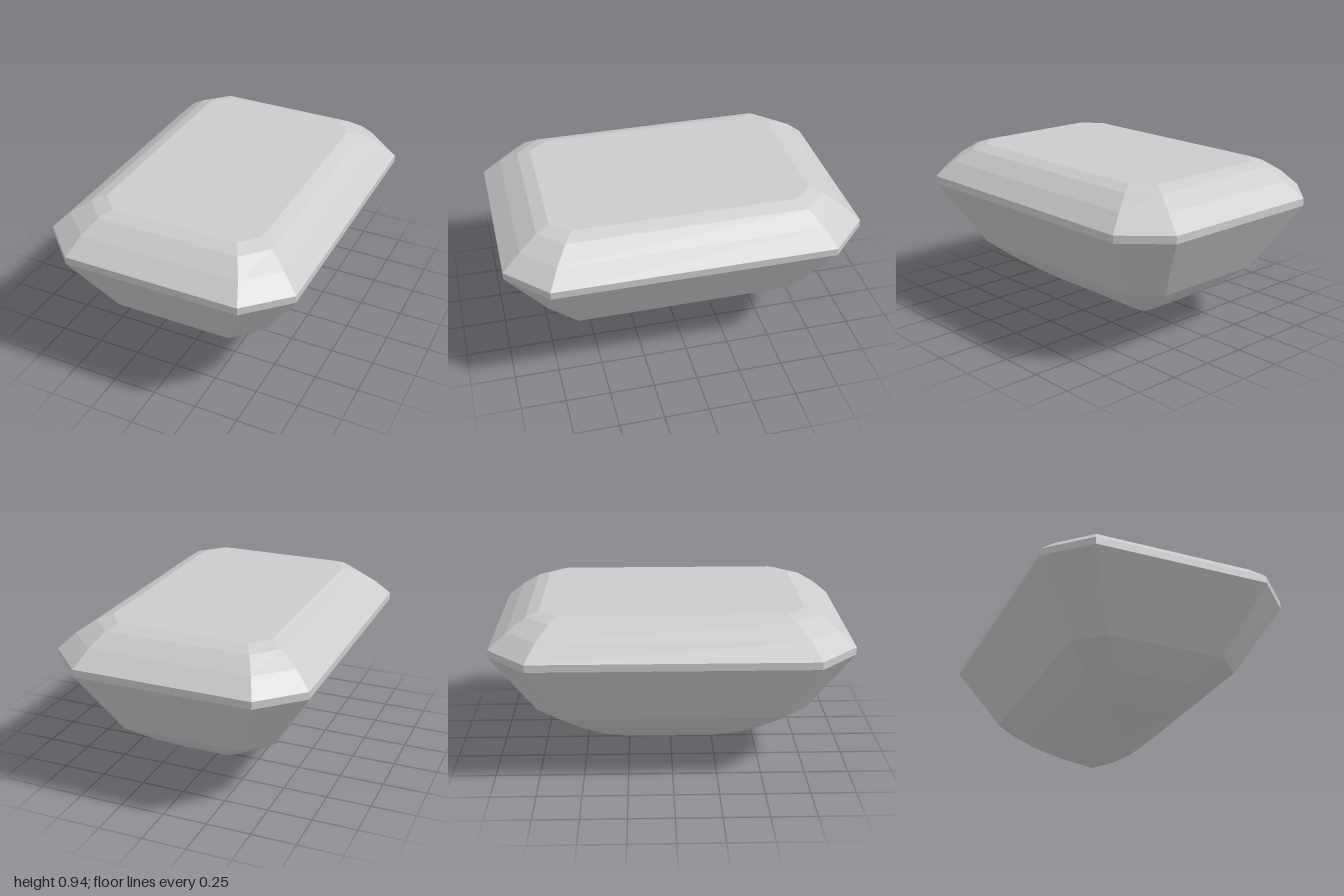
import * as THREE from 'three';

// Eight-sided section: full half-widths X, Z and the ends of the cut corners cx, cz.
function section([y, X, Z, cx, cz]) {
  return [
    [cx, Z], [X, cz], [X, -cz], [cx, -Z],
    [-cx, -Z], [-X, -cz], [-X, cz], [-cx, Z],
  ].map(([x, z]) => new THREE.Vector3(x, y, z));
}

// Joins sections, listed from bottom to top, with flat facets; can close the top.
function facets(name, rows, material, closeTop = false) {
  const rings = rows.map(section);
  const points = [];
  const tri = (a, b, c) => {
    const area = b.clone().sub(a).cross(c.clone().sub(a)).length();
    if (area > 1e-6) points.push(a, b, c); // the keel folds some facets to triangles
  };
  for (let r = 0; r < rings.length - 1; r++) {
    const low = rings[r], high = rings[r + 1];
    for (let i = 0; i < 8; i++) {
      const j = (i + 1) % 8;
      tri(low[i], low[j], high[j]);
      tri(low[i], high[j], high[i]);
    }
  }
  if (closeTop) {
    const top = rings[rings.length - 1];
    for (let i = 1; i < 7; i++) tri(top[0], top[i], top[i + 1]);
  }
  const geometry = new THREE.BufferGeometry().setFromPoints(points);
  geometry.computeVertexNormals();
  const mesh = new THREE.Mesh(geometry, material);
  mesh.name = name;
  return mesh;
}

export function createModel() {
  const gem = new THREE.Group();
  gem.name = 'emeraldCutGem';
  const stone = new THREE.MeshStandardMaterial({ color: 0xcccccc, flatShading: true });
  stone.name = 'pale grey stone';

  // Rows are [y, X, Z, cx, cz]
  const keel = [0, 0, 0.26, 0, 0.26];
  const girdleLow = [0.714, 0.723, 1, 0.5, 0.782];
  const girdleHigh = [0.756, 0.723, 1, 0.5, 0.782];

  // Pavilion: stepped underside running down to a keel line
  gem.add(facets('pavilion', [
    keel,
    [0.108, 0.19, 0.455, 0.13, 0.395],
    [0.217, 0.345, 0.62, 0.24, 0.51],
    [0.336, 0.49, 0.77, 0.34, 0.62],
    girdleLow,
  ], stone));

  // Girdle: thin upright band
  gem.add(facets('girdle', [girdleLow, girdleHigh], stone));

  // Crown: three steps up to the flat table
  gem.add(facets('crown', [
    girdleHigh,
    [0.843, 0.633, 0.9, 0.458, 0.728],
    [0.911, 0.535, 0.8, 0.408, 0.665],
    [0.938, 0.462, 0.727, 0.368, 0.62],
  ], stone, true));

  return gem;
}
